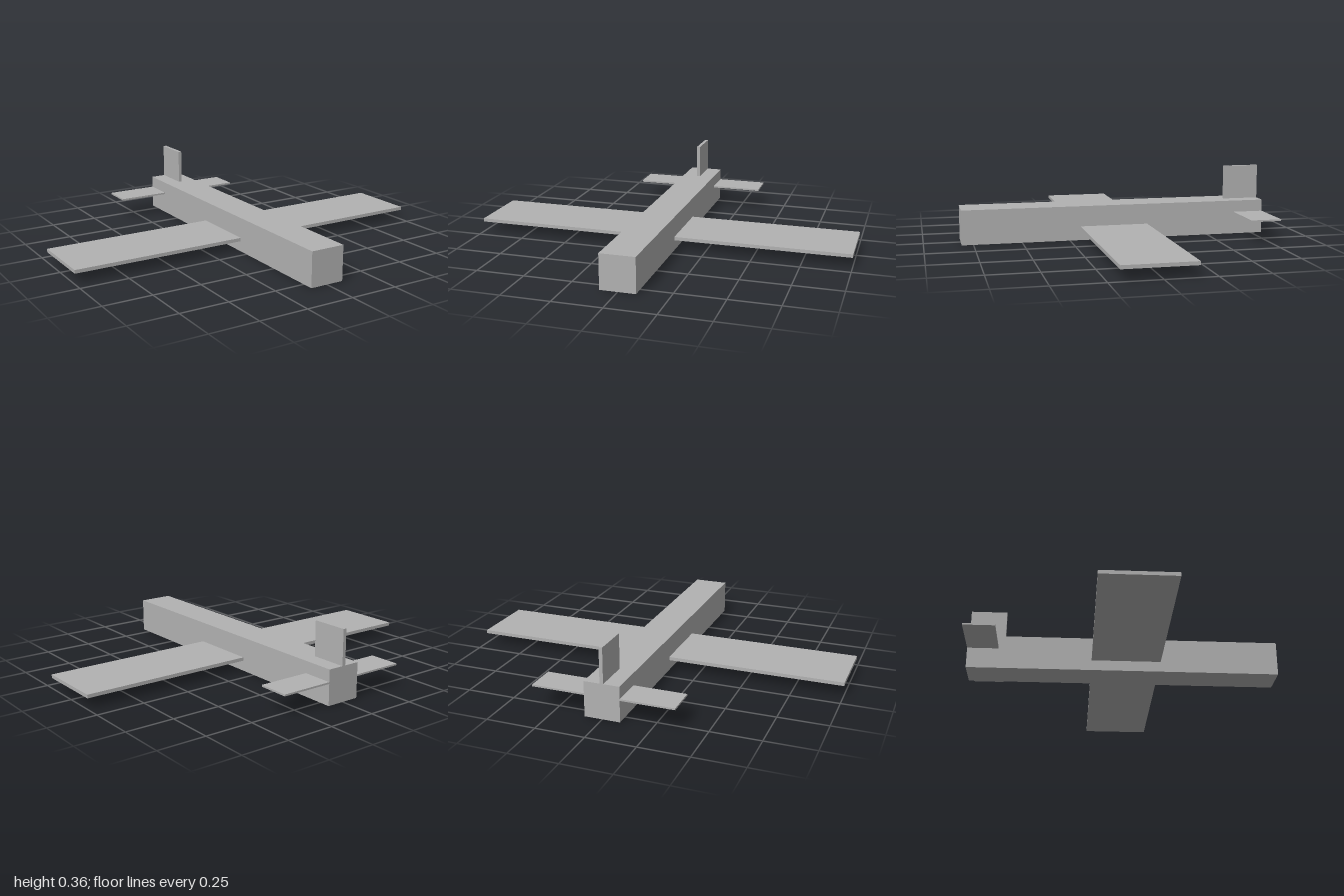
import * as THREE from 'three';

export function createModel() {
  const model = new THREE.Group();
  model.name = 'airplane';
  const grey = new THREE.MeshStandardMaterial({ color: 0xb2b2b2 });
  grey.name = 'plain grey';

  // Box given by its size and centre
  const addBox = (name, size, centre) => {
    const mesh = new THREE.Mesh(new THREE.BoxGeometry(...size), grey);
    mesh.name = name;
    mesh.position.set(...centre);
    model.add(mesh);
  };

  addBox('fuselage', [0.18, 0.18, 1.62], [0, 0.09, 0]);

  // Wings and tailplane halves, mirrored about the fuselage sides
  for (const [side, s] of [['left', 1], ['right', -1]]) {
    addBox(`${side}Wing`, [0.91, 0.018, 0.36], [s * 0.545, 0.064, 0.015]);
    addBox(`${side}Tailplane`, [0.27, 0.009, 0.162], [s * 0.225, 0.114, -0.729]);
  }

  // Upright fin standing on the tail
  addBox('tailFin', [0.018, 0.18, 0.19], [0, 0.27, -0.715]);

  return model;
}
